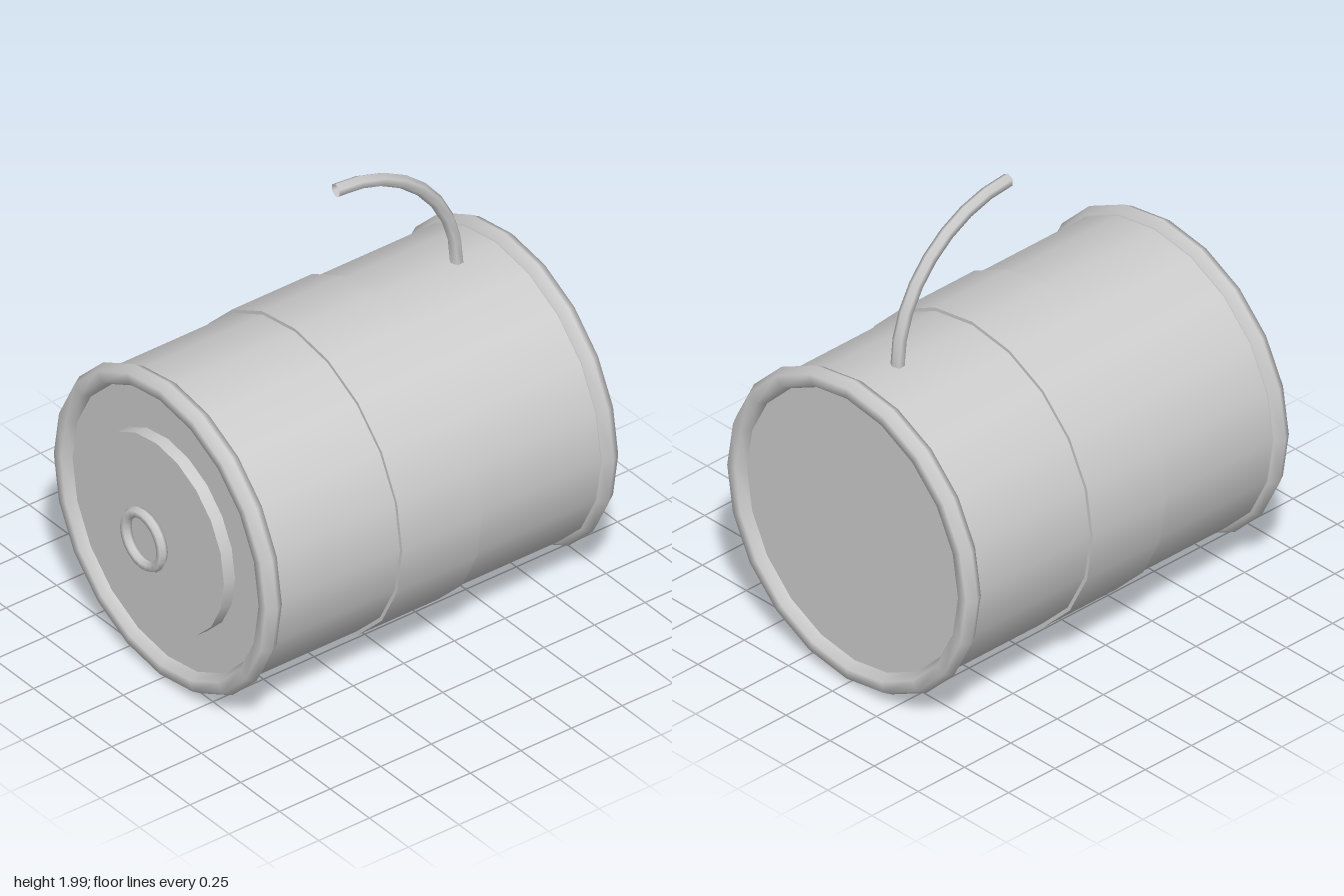
import * as THREE from 'three';

export function createModel() {
  const model = new THREE.Group();
  const CY = 0.71; // height of the barrel axis
  const metal = new THREE.MeshStandardMaterial({ color: 0xcccccc });
  metal.name = 'light grey';
  metal.side = THREE.DoubleSide; // the fuse is an open tube

  const add = (name, geometry, y, z) => {
    const mesh = new THREE.Mesh(geometry, metal);
    mesh.name = name;
    mesh.position.set(0, y, z);
    model.add(mesh);
    return mesh;
  };

  // Drum lying along z between two depths
  const drum = (name, radius, zBack, zFront) => {
    const g = new THREE.CylinderGeometry(radius, radius, zFront - zBack, 20);
    g.rotateX(Math.PI / 2);
    return add(name, g, CY, (zBack + zFront) / 2);
  };

  // Ring with a six-sided section, facing z
  const ring = (name, radius, tube, z) =>
    add(name, new THREE.TorusGeometry(radius, tube, 6, 20), CY, z);

  drum('barrel', 0.67, -0.88, 0.78);
  drum('middleBand', 0.685, -0.245, 0.15);
  drum('frontDisc', 0.43, 0.78, 0.835);

  ring('frontRim', 0.655, 0.046, 0.78);
  ring('backRim', 0.655, 0.046, -0.883);
  ring('frontRing', 0.116, 0.023, 0.898);

  // Fuse: quarter arc rising from the top and curling forward
  const fuse = add('fuse', new THREE.TorusGeometry(0.598, 0.029, 6, 8, Math.PI / 2), 1.373, -0.05);
  fuse.rotation.y = Math.PI / 2;

  return model;
}
